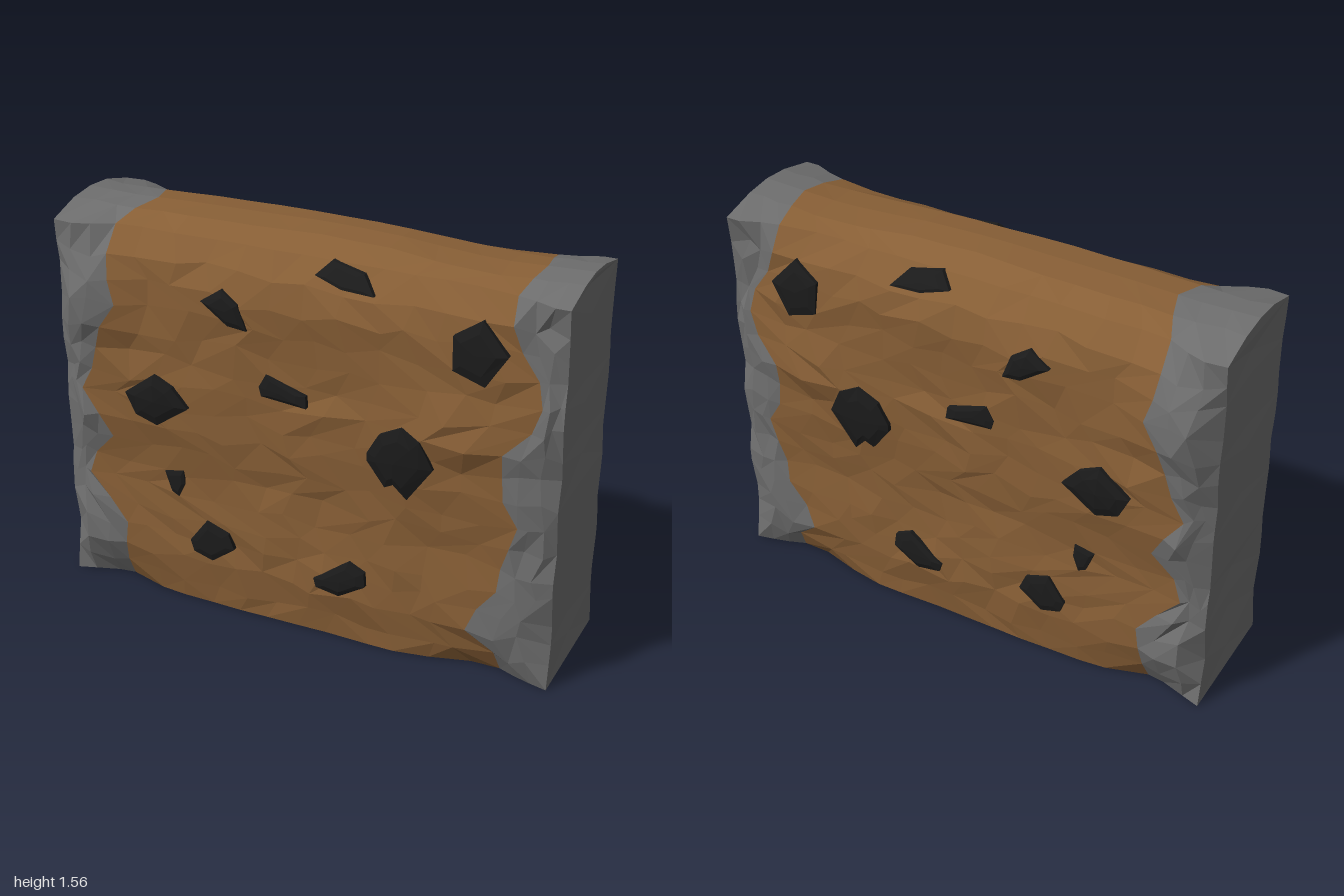
import * as THREE from 'three';

const stone = new THREE.MeshStandardMaterial({ name: 'grey stone', color: 0x6e6e6e, flatShading: true });
const earth = new THREE.MeshStandardMaterial({ name: 'brown earth', color: 0x885f36, flatShading: true });
const coal = new THREE.MeshStandardMaterial({ name: 'black ore', color: 0x1b1b1b, flatShading: true });

// piecewise linear curve through [t, value] pairs
function curve(pts, t) {
  if (t <= pts[0][0]) return pts[0][1];
  for (let i = 1; i < pts.length; i++) {
    const [a, va] = pts[i - 1], [b, vb] = pts[i];
    if (t <= b) return va + (vb - va) * (t - a) / (b - a);
  }
  return pts[pts.length - 1][1];
}
// repeatable noise in -1..1
function noise(i, j, k = 0) {
  const s = Math.sin(i * 127.1 + j * 311.7 + k * 74.7) * 43758.5453;
  return 2 * (s - Math.floor(s)) - 1;
}

// ragged borders between stone and earth: [y, x]
const leftBorder = [[0, -.77], [.14, -.76], [.28, -.74], [.38, -.82], [.45, -.91], [.57, -.87], [.67, -.77], [.71, -.82],
  [.8, -.85], [.85, -.91], [.94, -.85], [1.05, -.82], [1.14, -.79], [1.25, -.71], [1.33, -.775], [1.5, -.77], [1.56, -.7]];
const rightBorder = [[0, .8], [.14, .78], [.2, .66], [.38, .8], [.54, .81], [.61, .89], [.7, .84], [.76, .8],
  [.95, .8], [1.02, .89], [1.17, .94], [1.31, .84], [1.42, .8], [1.5, .8], [1.56, .83]];
// half thickness by height in the middle and at the end faces, chamfer under the top
const layers = [[0, .262], [.1, .27], [.23, .282], [.36, .276], [.5, .268], [.6, .268], [.75, .28], [.95, .282],
  [1.06, .272], [1.2, .278], [1.33, .273], [1.42, .262], [1.5, .25]];
const endLayers = [[0, .257], [.2, .225], [.42, .255], [.58, .228], [.72, .255], [.87, .23], [1.04, .257], [1.25, .23], [1.5, .26]];
const chamfer = [[1.3, 0], [1.4, .01], [1.45, .03], [1.5, .065]];
// undercut at the foot and ridge line, both by x
const undercut = [[-1, 0], [-.8, .07], [-.6, .01], [-.4, 0], [.45, 0], [.75, .075], [1, 0]];
const ridge = [[-1, 1.55], [-.78, 1.545], [-.6, 1.553], [-.2, 1.56], [0, 1.565], [.2, 1.56], [.25, 1.57],
  [.3, 1.553], [.5, 1.54], [.65, 1.53], [1, 1.545]];
// broad lumps and hollows: x, y, radius x, radius y, height
const lumps = [[.63, .98, .12, .08, .05], [-.86, 1.2, .12, .2, .062], [-.57, .86, .2, .13, .02], [.42, .82, .15, .16, .02],
  [-.28, 1.28, .12, .12, .012], [.2, .25, .16, .11, .01], [-.17, .9, .1, .15, -.012], [.2, 1.1, .2, .12, -.012],
  [-.3, .56, .3, .08, -.008], [-.88, .75, .1, .1, .026], [.89, .72, .1, .12, .014], [-.88, .27, .1, .12, .02], [.92, 1.32, .1, .14, -.038]];

function depth(x, y) {
  let z = curve(layers, y);
  for (const [a, b, rx, ry, h] of lumps) z += h * Math.exp(-(((x - a) / rx) ** 2) - ((y - b) / ry) ** 2);
  z -= curve(chamfer, y) * THREE.MathUtils.clamp((.92 - Math.abs(x)) / .2, 0, 1);
  z -= curve(undercut, x) * Math.max(0, 1 - y / .13);
  return THREE.MathUtils.lerp(curve(endLayers, y), z, THREE.MathUtils.clamp((1 - Math.abs(x)) / .08, 0, 1));
}

const ROWS = 16, SIDE = 3, MID = 12, COLS = 2 * SIDE + MID;

// one point of the front half section; the last two rows lie on the top
function point(i, j) {
  const onTop = j > ROWS, end = i === 0 || i === COLS, border = i === SIDE || i === SIDE + MID;
  const inner = j > 0 && j < ROWS;
  const y0 = onTop ? 1.53 + .03 * (j - ROWS - 1) : 1.5 * j / ROWS;
  const xl = curve(leftBorder, y0), xr = curve(rightBorder, y0);
  let x;
  if (i <= SIDE) x = THREE.MathUtils.lerp(-1, xl, i / SIDE);
  else if (i <= SIDE + MID) x = THREE.MathUtils.lerp(xl, xr, (i - SIDE) / MID);
  else x = THREE.MathUtils.lerp(xr, 1, (i - SIDE - MID) / SIDE);
  const inStone = i < SIDE || i > SIDE + MID;
  if (!end && !border) x += noise(i, j) * (inStone ? .015 : .036);
  if (onTop) {
    const last = j === ROWS + 2;
    return [x, curve(ridge, x) - (last ? 0 : .01), last ? 0 : .11 + noise(i, j, 2) * .012];
  }
  const y = y0 + (inner && !border ? noise(i, j, 1) * .026 : 0);
  const rough = j === 0 || end ? .004 : inStone ? .013 : .008;
  return [x, y, depth(x, y) + noise(i, j, 2) * rough];
}

// closed section: up the front, over the top, down the mirrored back
function section(i) {
  const half = [];
  for (let j = 0; j <= ROWS + 2; j++) half.push(point(i, j));
  const back = half.slice(0, -1).reverse().map(([x, y, z]) => [x, y, -z]);
  return half.concat(back);
}

function geometryFrom(points, index) {
  const g = new THREE.BufferGeometry();
  g.setAttribute('position', new THREE.Float32BufferAttribute(points.flat(), 3));
  g.setIndex(index);
  const flat = g.toNonIndexed();
  flat.computeVertexNormals();
  return flat;
}

// skin over a run of sections
function skin(from, to) {
  const points = [], index = [], n = 2 * (ROWS + 3) - 1;
  for (let i = from; i <= to; i++) points.push(...section(i));
  for (let i = 0; i < to - from; i++) for (let j = 0; j < n; j++) {
    const k = (j + 1) % n, mirrored = j >= ROWS + 2;
    const a = i * n + j, b = a + n, c = (i + 1) * n + k, d = i * n + k;
    const slant = noise(i + from, mirrored ? n - 2 - j : j, 5) > 0;
    if (slant !== mirrored) index.push(a, b, c, a, c, d);
    else index.push(a, b, d, b, c, d);
  }
  return geometryFrom(points, index);
}

// slightly hollowed end face, with a centre line of points
function endFace(i) {
  const s = Math.sign(i - 1), points = [], index = [];
  for (let j = 0; j <= ROWS + 2; j++) {
    const [x, y, z] = point(i, j);
    const inset = j === 0 || j > ROWS ? 0 : .01 + .01 * noise(i, j, 7);
    points.push([x, y, z], [x - s * inset, y, 0], [x, y, -z]);
  }
  for (let j = 0; j < ROWS + 2; j++) for (let c = 0; c < 2; c++) {
    const a = j * 3 + c, b = a + 1, d = a + 3, e = a + 4;
    const slant = (j + c) % 2 === 0;
    const faces = slant ? [[a, b, e], [a, e, d]] : [[a, b, d], [b, e, d]];
    for (const [p, q, r] of faces) index.push(...(s > 0 ? [p, q, r] : [p, r, q]));
  }
  return geometryFrom(points, index);
}

// outlines of the embedded lumps of ore
const ores = [
  [[-.37, 1.3], [-.29, 1.355], [-.22, 1.31], [-.185, 1.215], [-.26, 1.225]],
  [[.06, 1.455], [.11, 1.505], [.24, 1.48], [.295, 1.42], [.17, 1.425]],
  [[.6, 1.345], [.7, 1.41], [.8, 1.3], [.725, 1.18], [.605, 1.22]],
  [[-.145, 1], [-.115, 1.055], [.045, 1], [.05, .955], [-.135, .965]],
  [[-.7, .875], [-.58, .965], [-.5, .93], [-.435, .855], [-.57, .76], [-.66, .79]],
  [[.295, .84], [.34, .92], [.425, .965], [.5, .93], [.55, .825], [.45, .68], [.4, .735], [.365, .715], [.295, .81]],
  [[-.56, .555], [-.48, .57], [-.475, .515], [-.5, .46], [-.53, .475]],
  [[-.45, .285], [-.38, .38], [-.285, .345], [-.26, .285], [-.355, .215], [-.435, .24]],
  [[.08, .255], [.22, .355], [.285, .325], [.29, .27], [.185, .205], [.09, .22]],
];

// faceted lump: buried ring, rim, raised ring and centre; side is 1 front, -1 back
function oreGeometry(outline, side) {
  const n = outline.length, points = [], index = [];
  const cx = outline.reduce((t, p) => t + p[0], 0) / n, cy = outline.reduce((t, p) => t + p[1], 0) / n;
  for (const [scale, lift] of [[1, -.03], [1, .012], [.65, .018]])
    for (const [px, py] of outline) {
      const x = cx + (px - cx) * scale, y = cy + (py - cy) * scale;
      points.push([x, y, side * (depth(x, y) + lift)]);
    }
  points.push([cx, cy, side * (depth(cx, cy) + .019)]);
  const tri = (a, b, c) => side > 0 ? index.push(a, c, b) : index.push(a, b, c);
  for (let i = 0; i < n; i++) {
    const k = (i + 1) % n;
    for (const r of [0, n]) {
      tri(r + i, r + k, r + n + k);
      tri(r + i, r + n + k, r + n + i);
    }
    tri(2 * n + i, 2 * n + k, 3 * n);
  }
  return geometryFrom(points, index);
}

export function createModel() {
  const group = new THREE.Group();
  group.name = 'wallBlock';
  const add = (name, geometry, material) => {
    const mesh = new THREE.Mesh(geometry, material);
    mesh.name = name;
    group.add(mesh);
  };
  add('earthCore', skin(SIDE, SIDE + MID), earth);
  add('rightStone', skin(0, SIDE), stone);
  add('leftStone', skin(SIDE + MID, COLS), stone);
  add('rightEndFace', endFace(0), stone);
  add('leftEndFace', endFace(COLS), stone);
  ores.forEach((outline, i) => {
    add('frontOre' + (i + 1), oreGeometry(outline, 1), coal);
    add('backOre' + (i + 1), oreGeometry(outline, -1), coal);
  });
  return group;
}
